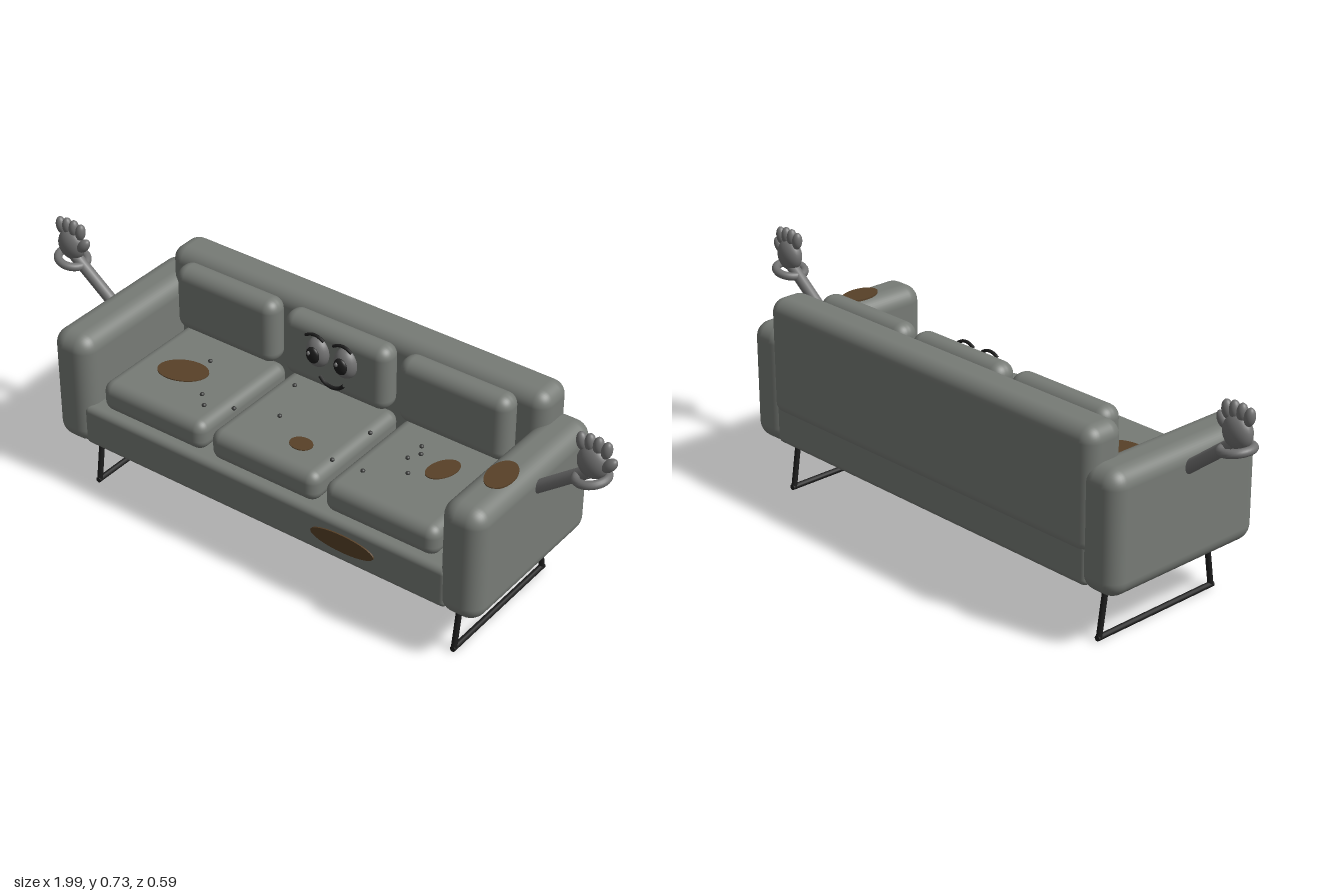
import * as THREE from 'three';
import { RoundedBoxGeometry } from 'three/addons/geometries/RoundedBoxGeometry.js';

const mat = (name, color) => {
  const m = new THREE.MeshStandardMaterial({ color });
  m.name = name;
  return m;
};

export function createModel() {
  const fabric = mat('fabric', 0x777b76);
  const skin = mat('limbGrey', 0x727272);
  const black = mat('black', 0x1c1c1c);
  const brown = mat('stainBrown', 0x584128);
  const crumbGrey = mat('crumbGrey', 0x3c3d3c);

  const model = new THREE.Group();
  model.name = 'sofa';
  const body = new THREE.Group();
  body.name = 'sofaBody';
  body.position.x = -0.006;
  model.add(body);

  const add = (name, geometry, material, x = 0, y = 0, z = 0, parent = body) => {
    const mesh = new THREE.Mesh(geometry, material);
    mesh.name = name;
    mesh.position.set(x, y, z);
    parent.add(mesh);
    return mesh;
  };
  const rounded = (name, w, h, d, r, x, y, z) =>
    add(name, new RoundedBoxGeometry(w, h, d, 5, r), fabric, x, y, z);
  const ball = (name, material, rx, ry, rz, x, y, z, parent) => {
    const mesh = add(name, new THREE.SphereGeometry(1, 24, 16), material, x, y, z, parent);
    mesh.scale.set(rx, ry, rz);
    return mesh;
  };
  // Straight bar between two points
  const bar = (name, a, b, radius, sides, material, parent) => {
    const dir = b.clone().sub(a);
    const mesh = add(name, new THREE.CylinderGeometry(radius, radius, dir.length(), sides), material, 0, 0, 0, parent);
    mesh.position.copy(a).add(b).multiplyScalar(0.5);
    mesh.quaternion.setFromUnitVectors(new THREE.Vector3(0, 1, 0), dir.normalize());
    return mesh;
  };
  const V = (x, y, z) => new THREE.Vector3(x, y, z);

  // Upholstery
  rounded('base', 1.32, 0.137, 0.572, 0.02, 0, 0.249, -0.002);
  rounded('backrest', 1.355, 0.38, 0.135, 0.045, 0, 0.46, -0.226);
  for (const s of [-1, 1]) rounded('armrest', 0.14, 0.38, 0.584, 0.052, s * 0.698, 0.361, 0);
  for (const i of [-1, 0, 1]) {
    rounded('seatCushion', 0.386, 0.1, 0.42, 0.035, i * 0.411, 0.362, 0.05);
    rounded('backCushion', 0.376, 0.217, 0.084, 0.038, i * 0.411, 0.537, -0.124);
  }

  // Sled legs, arms and hands
  for (const s of [-1, 1]) {
    const x = s * 0.66;
    for (const t of [-1, 1]) bar('leg', V(x, 0.009, t * 0.228), V(x, 0.19, t * 0.2), 0.009, 12, black);
    bar('legRail', V(x, 0.009, -0.236), V(x, 0.009, 0.236), 0.009, 12, black);

    bar('arm', V(s * 0.74, 0.47, 0), V(s * 0.92, 0.61, 0), 0.019, 20, skin);
    const hand = new THREE.Group();
    hand.name = 'hand';
    hand.position.set(s * 0.929, 0, 0);
    body.add(hand);
    const cuff = add('cuff', new THREE.TorusGeometry(0.045, 0.013, 14, 36), skin, 0, 0.596, 0, hand);
    cuff.rotation.set(Math.PI / 2, s * 0.2, 0);
    ball('palm', skin, 0.048, 0.05, 0.031, 0, 0.645, 0, hand);
    for (let i = 0; i < 4; i++) {
      const u = (i - 1.5) * 0.026;
      const finger = ball('finger', skin, 0.016, 0.028, 0.016, u, 0.707 - Math.abs(u) * 0.2, 0, hand);
      finger.rotation.z = -u * 4;
    }
    const thumb = ball('thumb', skin, 0.017, 0.03, 0.017, 0.054, 0.66, 0.006, hand);
    thumb.rotation.z = -0.7;
  }

  // Face on the middle cushion
  const arc = (name, pts, radius) =>
    add(name, new THREE.TubeGeometry(new THREE.CatmullRomCurve3(pts), 20, radius, 8), black);
  for (const s of [-1, 1]) {
    const x = s * 0.05;
    ball('eye', skin, 0.039, 0.05, 0.034, x, 0.562, -0.082);
    ball('pupil', black, 0.023, 0.027, 0.012, x, 0.564, -0.053);
    ball('eyeGlint', skin, 0.006, 0.007, 0.005, x - 0.008, 0.573, -0.043);
    arc('eyebrow', [V(x - 0.033, 0.617, -0.063), V(x - 0.016, 0.626, -0.063), V(x, 0.629, -0.063),
      V(x + 0.016, 0.626, -0.063), V(x + 0.033, 0.617, -0.063)], 0.005);
  }
  arc('smile', [V(-0.044, 0.48, -0.08), V(-0.026, 0.463, -0.08), V(0, 0.456, -0.08),
    V(0.026, 0.463, -0.08), V(0.044, 0.48, -0.08)], 0.006);

  // Stains: thin ovals on the seats, one armrest and the front
  const stain = (rx, rz, x, y, z, turn) => {
    const geometry = new THREE.CylinderGeometry(1, 1, 0.005, 32).scale(rx, 1, rz).rotateY(turn);
    return add('stain', geometry, brown, x, y, z);
  };
  stain(0.08, 0.055, -0.444, 0.4125, 0.067, 0.35);
  stain(0.037, 0.03, 0.062, 0.4125, 0.15, 0);
  stain(0.037, 0.058, 0.456, 0.4125, 0.008, -0.3);
  stain(0.042, 0.068, 0.699, 0.5515, 0.088, 0.1);
  stain(0.11, 0.03, 0.308, 0.252, 0.286, 0).rotation.x = Math.PI / 2;

  // Crumbs scattered over the seats
  const crumbs = [[-0.41, -0.02], [-0.32, 0.13], [-0.28, 0.17], [-0.2, 0.13], [-0.07, 0.08],
    [-0.13, -0.07], [0.19, -0.01], [0.18, 0.16], [0.28, 0.15], [0.346, -0.045],
    [0.366, -0.013], [0.346, 0.024], [0.388, 0.083]];
  for (const [x, z] of crumbs) ball('crumb', crumbGrey, 0.007, 0.006, 0.007, x, 0.415, z);

  return model;
}
